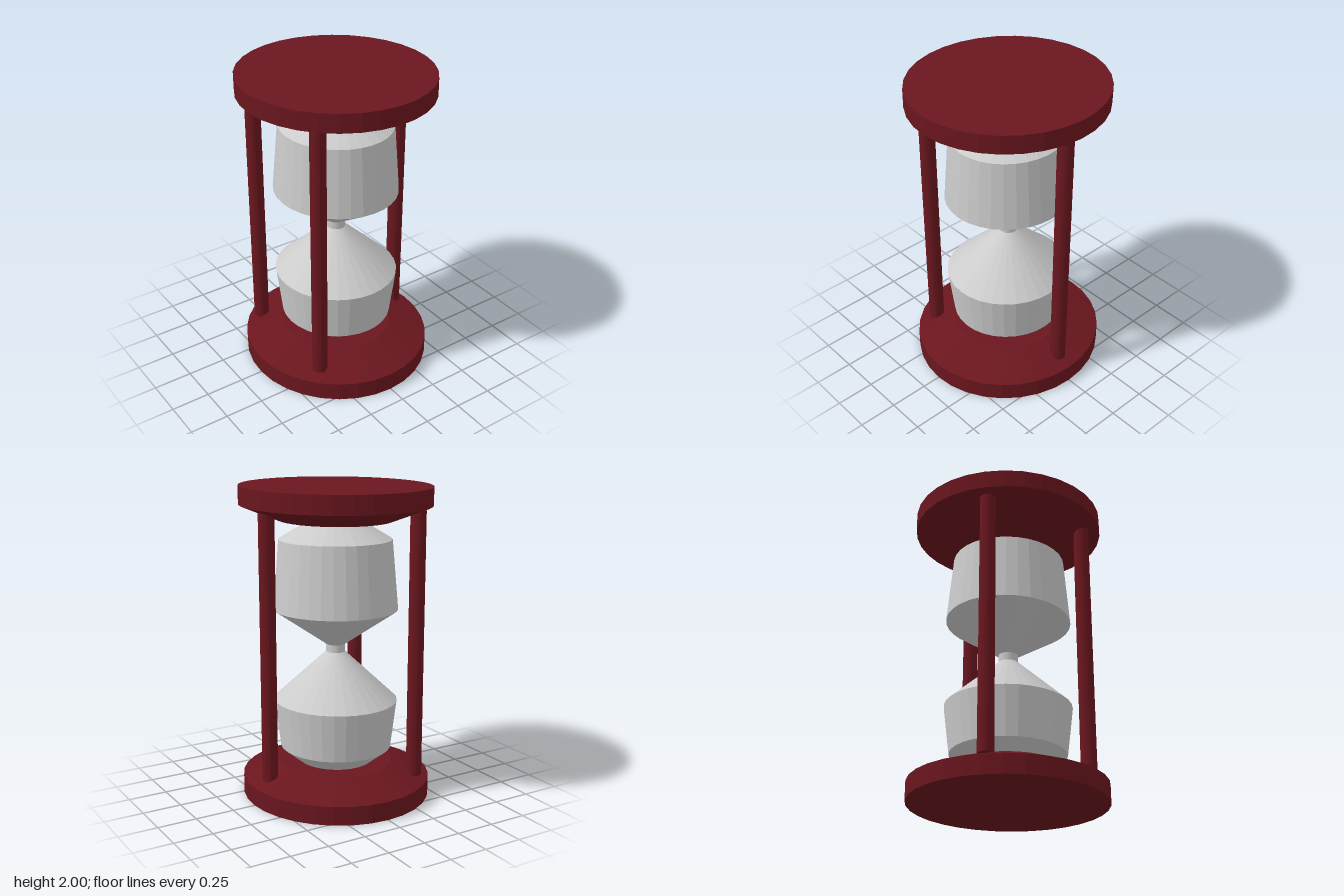
import * as THREE from 'three';

const wood = new THREE.MeshStandardMaterial({ color: 0x6a161e, flatShading: true });
const glass = new THREE.MeshStandardMaterial({ color: 0xcccccc, flatShading: true });

// Faceted body of revolution from [radius, y] pairs, listed bottom to top
function turned(name, profile, material, tilt = 0, pivotY = 0) {
  const points = profile.map(([r, y]) => new THREE.Vector2(r, y - pivotY));
  const geometry = new THREE.LatheGeometry(points, 32);
  geometry.scale(1, 1, 1.043); // slightly oval, deeper than wide
  const mesh = new THREE.Mesh(geometry, material);
  mesh.name = name;
  mesh.position.y = pivotY;
  mesh.rotation.x = tilt;
  return mesh;
}

export function createModel() {
  const model = new THREE.Group();
  model.name = 'hourglass';

  // End plates: straight rim with a bevel towards the glass
  model.add(turned('bottomPlate',
    [[0, 0], [0.6, 0], [0.6, 0.12], [0.36, 0.215], [0, 0.215]], wood));
  model.add(turned('topPlate',
    [[0, 1.78], [0.36, 1.78], [0.6, 1.876], [0.6, 1.993], [0, 1.993]], wood, -0.01, 1.9));

  // Glass: two bulbs joined by a narrow neck
  model.add(turned('lowerBulb',
    [[0, 0.2], [0.22, 0.2], [0.355, 0.31], [0.392, 0.622], [0.06, 0.935], [0, 0.935]], glass));
  model.add(turned('neck',
    [[0, 0.93], [0.06, 0.93], [0.06, 0.99], [0, 0.99]], glass));
  model.add(turned('upperBulb',
    [[0, 0.985], [0.06, 0.985], [0.392, 1.215], [0.355, 1.658], [0.13, 1.795], [0, 1.795]],
    glass, 0.008, 1.215));

  // Three posts, ends sunk into the plate bevels
  const posts = { leftPost: [0.485, 0], frontRightPost: [-0.36, 0.342], backRightPost: [-0.36, -0.38] };
  for (const [name, [x, z]] of Object.entries(posts)) {
    const post = new THREE.Mesh(new THREE.CylinderGeometry(0.05, 0.05, 1.7, 16), wood);
    post.name = name;
    post.position.set(x, 1, z);
    model.add(post);
  }
  return model;
}
